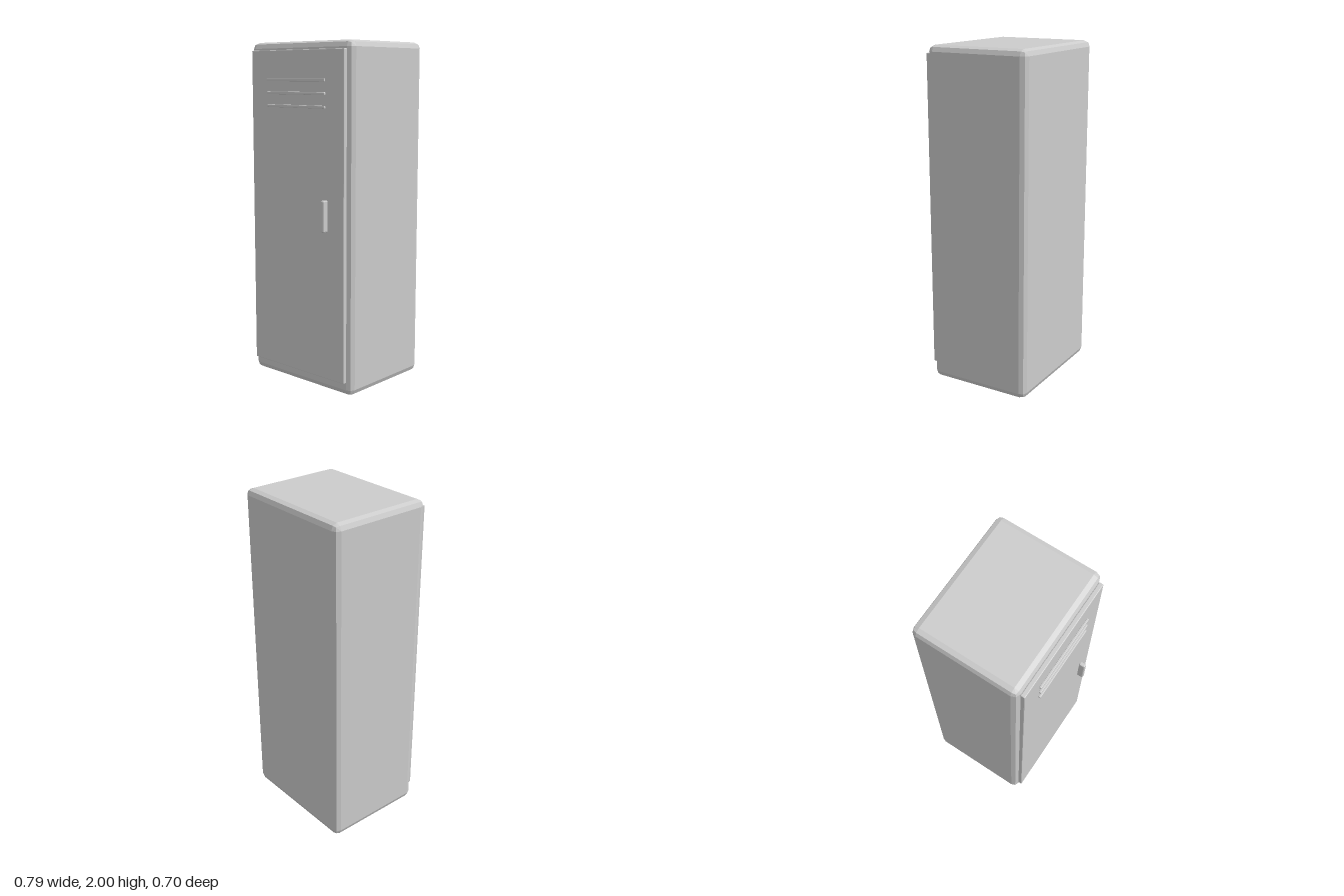
import * as THREE from 'three';
import { ConvexGeometry } from 'three/addons/geometries/ConvexGeometry.js';

// Box between two corners, every edge rounded with two flat facets
function bevelledBox(min, max, r) {
  const a = Math.SQRT1_2, b = 1 / Math.sqrt(3);
  const dirs = [[1, 0, 0], [0, 1, 0], [0, 0, 1], [a, a, 0], [a, 0, a], [0, a, a], [b, b, b]];
  const mid = min.map((v, i) => (v + max[i]) / 2);
  const half = min.map((v, i) => (max[i] - v) / 2);
  const points = [];
  for (const sx of [-1, 1]) for (const sy of [-1, 1]) for (const sz of [-1, 1]) {
    const s = [sx, sy, sz];
    for (const d of dirs) {
      points.push(new THREE.Vector3(...d.map((v, i) => mid[i] + s[i] * (half[i] - r + r * v))));
    }
  }
  return new ConvexGeometry(points);
}

export function createModel() {
  const locker = new THREE.Group();
  locker.name = 'locker';
  const metal = new THREE.MeshStandardMaterial({ color: 0xcccccc });
  metal.name = 'light grey metal';

  const add = (name, min, max, r) => {
    const mesh = new THREE.Mesh(bevelledBox(min, max, r), metal);
    mesh.name = name;
    locker.add(mesh);
  };

  // Cabinet and door
  add('cabinet', [-0.394, 0, -0.352], [0.394, 2, 0.277], 0.036);
  add('door', [-0.362, 0.08, 0.277], [0.362, 1.953, 0.303], 0.004);

  // Three ventilation bars near the top of the door
  [1.785, 1.711, 1.637].forEach((y, i) => {
    add(`ventBar${i + 1}`, [-0.227, y - 0.008, 0.303], [0.227, y + 0.008, 0.316], 0.003);
  });

  // Upright pull handle
  add('handle', [0.228, 0.945, 0.31], [0.253, 1.125, 0.35], 0.007);

  return locker;
}
